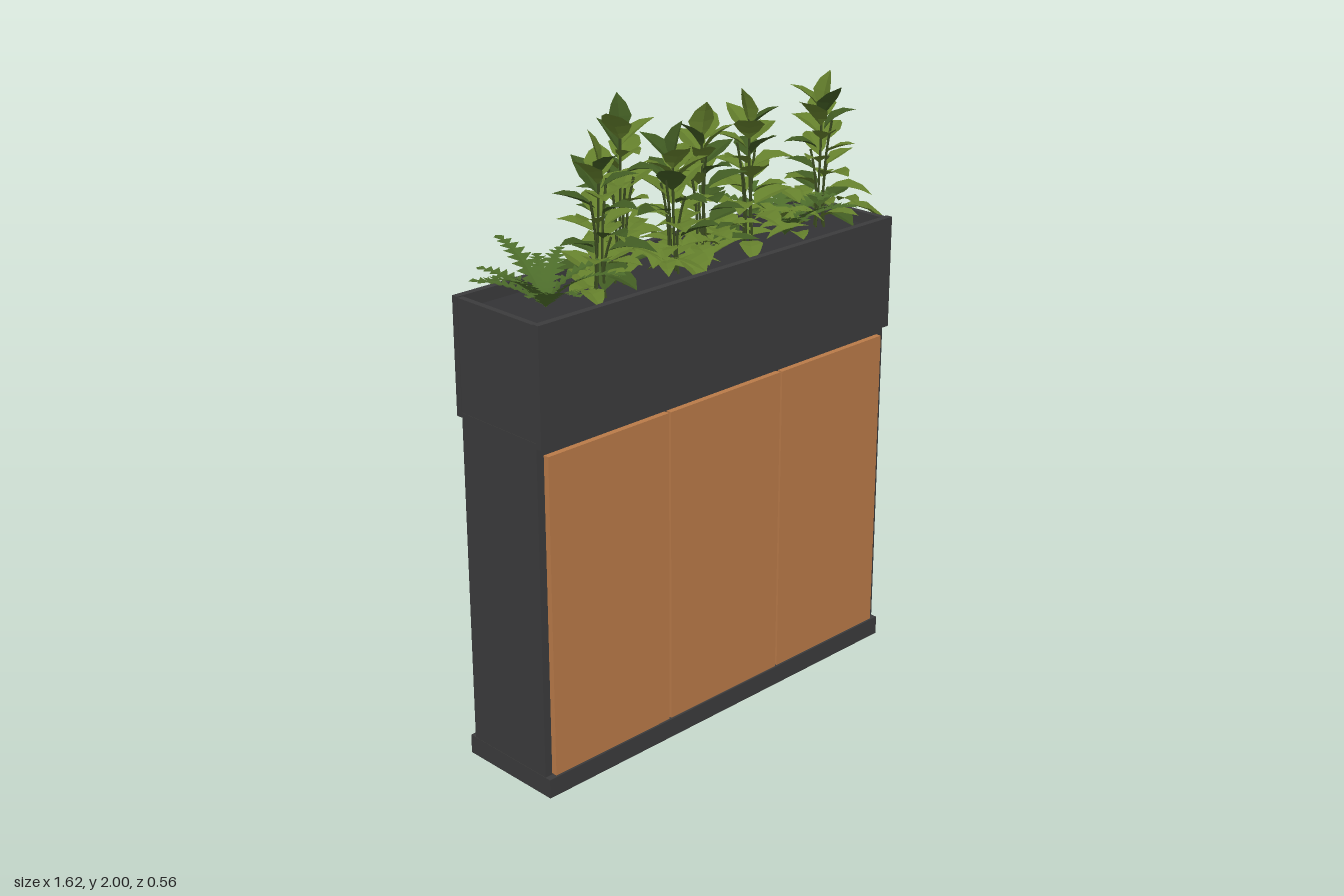
import * as THREE from 'three';
import { mergeGeometries } from 'three/addons/utils/BufferGeometryUtils.js';

const mat = (name, color, leafy = false) => {
  const m = new THREE.MeshStandardMaterial({ color });
  m.name = name;
  if (leafy) { m.side = THREE.DoubleSide; m.flatShading = true; }
  return m;
};

// Small seeded generator
let seed = 7;
const rnd = () => (seed = (seed * 16807) % 2147483647) / 2147483647;
const vary = (a, b) => a + (b - a) * rnd();

// Leaf outline: [position along the blade, half width]
const LEAF = [[0, 0.03], [0.18, 0.62], [0.42, 1], [0.72, 0.66], [1, 0]];
// Fern outline: saw-toothed and tapering
const FERN = [[0, 0.06]];
for (let i = 1; i < 11; i++) {
  const t = i / 11, w = Math.pow(Math.sin(Math.PI * Math.pow(t, 0.8)), 0.6);
  FERN.push([t - 0.035, w * 0.28], [t + 0.03, w]);
}
FERN.push([1, 0]);

// Folded blade that bends downward along its length
function blade(base, az, el, len, halfWidth, bend, outline, fold = 0.3) {
  const pos = [], index = [], p = base.clone();
  const side = new THREE.Vector3(-Math.sin(az), 0, Math.cos(az));
  let last = 0;
  outline.forEach(([t, w], i) => {
    const e = el - bend * t;
    const dir = new THREE.Vector3(Math.cos(az) * Math.cos(e), Math.sin(e), Math.sin(az) * Math.cos(e));
    const up = new THREE.Vector3().crossVectors(side, dir);
    if (up.dot(new THREE.Vector3(0, 1, 0)) < 0) up.negate();
    p.addScaledVector(dir, (t - last) * len);
    last = t;
    for (const s of [-1, 0, 1]) {
      const q = p.clone().addScaledVector(side, s * w * halfWidth)
        .addScaledVector(up, Math.abs(s) * w * halfWidth * fold);
      pos.push(q.x, q.y, q.z);
    }
    if (i > 0) {
      for (const c of [0, 1]) {
        const a = (i - 1) * 3 + c, b = a + 3;
        index.push(a, a + 1, b, a + 1, b + 1, b);
      }
    }
  });
  const g = new THREE.BufferGeometry();
  g.setAttribute('position', new THREE.Float32BufferAttribute(pos, 3));
  g.setIndex(index);
  g.computeVertexNormals();
  return g;
}

export function createModel() {
  seed = 7;
  const model = new THREE.Group();
  const dark = mat('charcoal panel', 0x3b3b3c);
  const wood = mat('warm wood', 0xb97a48);
  const soilMat = mat('soil', 0x333335);
  const green = mat('leaf green', 0x647f2c, true);
  const deep = mat('deep leaf green', 0x405a22, true);
  const fernMat = mat('fern green', 0x4c6b2a, true);
  const stemMat = mat('stem green', 0x3a4a20, true);

  const add = (name, geo, material, parent = model) => {
    const m = new THREE.Mesh(geo, material);
    m.name = name;
    parent.add(m);
    return m;
  };
  const box = (name, x0, x1, y0, y1, z0, z1, material) => {
    const m = add(name, new THREE.BoxGeometry(x1 - x0, y1 - y0, z1 - z0), material);
    m.position.set((x0 + x1) / 2, (y0 + y1) / 2, (z0 + z1) / 2);
  };

  // Cabinet
  box('cabinetBody', -0.737, 0.737, 0.01, 1.13, -0.162, 0.162, dark);
  box('plinth', -0.738, 0.738, 0, 0.062, -0.183, 0.183, dark);
  const edges = [-0.715, -0.24, 0.238, 0.712];
  for (const s of [1, -1]) {
    const z = [0.162 * s, 0.181 * s].sort((a, b) => a - b);
    for (let i = 0; i < 3; i++) {
      const x = [(edges[i] + 0.004) * s, (edges[i + 1] - 0.004) * s].sort((a, b) => a - b);
      box('doorPanel', x[0], x[1], 0.066, 1.088, z[0], z[1], wood);
    }
  }

  // Planter trough
  for (const s of [1, -1]) {
    const z = [0.162 * s, 0.184 * s].sort((a, b) => a - b);
    box('troughLongSide', -0.738, 0.738, 1.115, 1.48, z[0], z[1], dark);
    const x = [0.717 * s, 0.736 * s].sort((a, b) => a - b);
    box('troughEnd', x[0], x[1], 1.115, 1.477, -0.163, 0.163, dark);
  }
  box('troughFloor', -0.72, 0.72, 1.115, 1.15, -0.163, 0.163, dark);
  box('soil', -0.718, 0.718, 1.15, 1.44, -0.163, 0.163, soilMat);

  // Tall leafy plants: [x, z, height of tip]
  const plants = [[-0.37, 0.03, 1.93], [-0.24, -0.02, 2.0], [-0.07, 0.02, 1.9],
    [0.09, -0.02, 1.93], [0.25, 0.02, 1.95], [0.6, 0, 1.94]];
  for (const [x, z, tip] of plants) {
    const group = new THREE.Group();
    group.name = 'leafyPlant';
    model.add(group);
    const stems = [], light = [], shade = [];
    const root = new THREE.Vector3(x, 1.43, z);
    for (let k = 0; k < 4; k++) {
      const a = k * 1.6 + x * 5, top = k ? tip - vary(0.15, 0.32) : tip - 0.1;
      const r = k ? 0.04 : 0;
      const curve = new THREE.QuadraticBezierCurve3(
        root.clone().add(new THREE.Vector3(Math.cos(a) * 0.02, 0, Math.sin(a) * 0.02)),
        new THREE.Vector3(x, (1.43 + top) / 2, z),
        new THREE.Vector3(x + Math.cos(a) * r, top, z + Math.sin(a) * r));
      stems.push(new THREE.TubeGeometry(curve, 6, 0.004, 5));
    }
    const n = 25;
    for (let i = 0; i < n; i++) {
      const t = i / (n - 1), az = i * 2.4 + x * 9;
      const len = t > 0.5 ? vary(0.11, 0.14) : vary(0.1, 0.15);
      const out = 0.035 * (1 - t);
      const base = new THREE.Vector3(x + Math.cos(az) * out, 1.48 + t * (tip - 0.115 - 1.48), z + Math.sin(az) * out);
      const last = i === n - 1;
      const g = blade(base, az, last ? 1.5 : 0.25 + t * 0.85 + vary(-0.2, 0.2),
        last ? 0.118 : len, len * vary(0.29, 0.38), last ? 0.3 : vary(0.3, 0.9), LEAF);
      (rnd() < 0.3 ? shade : light).push(g);
    }
    add('stems', mergeGeometries(stems), stemMat, group);
    add('leaves', mergeGeometries(light), green, group);
    if (shade.length) add('darkLeaves', mergeGeometries(shade), deep, group);
  }

  // Low leaves filling the trough, with a few hanging over the rim
  const low = [];
  for (let i = 0; i < 46; i++) {
    const x = -0.42 + 1.08 * (i / 45), az = (i % 2 ? 1 : -1) * vary(0.5, 2.6);
    low.push(blade(new THREE.Vector3(x, vary(1.45, 1.54), vary(-0.03, 0.04)), az,
      vary(0.2, 0.8), vary(0.11, 0.16), vary(0.03, 0.045), vary(0.4, 1), LEAF));
  }
  low.push(blade(new THREE.Vector3(0.68, 1.5, 0.03), 0.72, 0.1, 0.19, 0.045, 1.0, LEAF));
  low.push(blade(new THREE.Vector3(0.07, 1.49, -0.09), -1.1, 0.2, 0.15, 0.035, 1.1, LEAF));
  low.push(blade(new THREE.Vector3(-0.1, 1.5, 0.08), 1.5, 0, 0.12, 0.035, 0.9, LEAF));
  add('lowLeaves', mergeGeometries(low), green);

  // Ferns: centre x and frond [azimuth, elevation, length]
  const ferns = [
    [-0.55, [[3.0, 0.95, 0.32], [3.7, 0.8, 0.24], [2.5, 0.85, 0.24], [1.3, 0.95, 0.31], [1.85, 0.8, 0.25],
      [-1.4, 0.95, 0.32], [-2.0, 0.8, 0.24], [0.6, 1.2, 0.24], [-0.6, 1.2, 0.23], [3.3, 1.2, 0.22], [-1.0, 1.0, 0.22]]],
    [0.44, [[1.5, 0.95, 0.32], [2.1, 0.9, 0.25], [1.0, 0.9, 0.25], [-1.45, 0.95, 0.33], [-2.1, 0.9, 0.27],
      [-0.9, 0.9, 0.27], [0.1, 1.1, 0.22], [3.0, 1.1, 0.22], [0.6, 1.25, 0.22], [-2.6, 1.25, 0.23]]]];
  for (const [x, fronds] of ferns) {
    const parts = fronds.map(([az, el, len]) =>
      blade(new THREE.Vector3(x, 1.445, 0), az, el, len, 0.042, el * 0.95, FERN, 0.15));
    add('fern', mergeGeometries(parts), fernMat);
  }
  return model;
}
